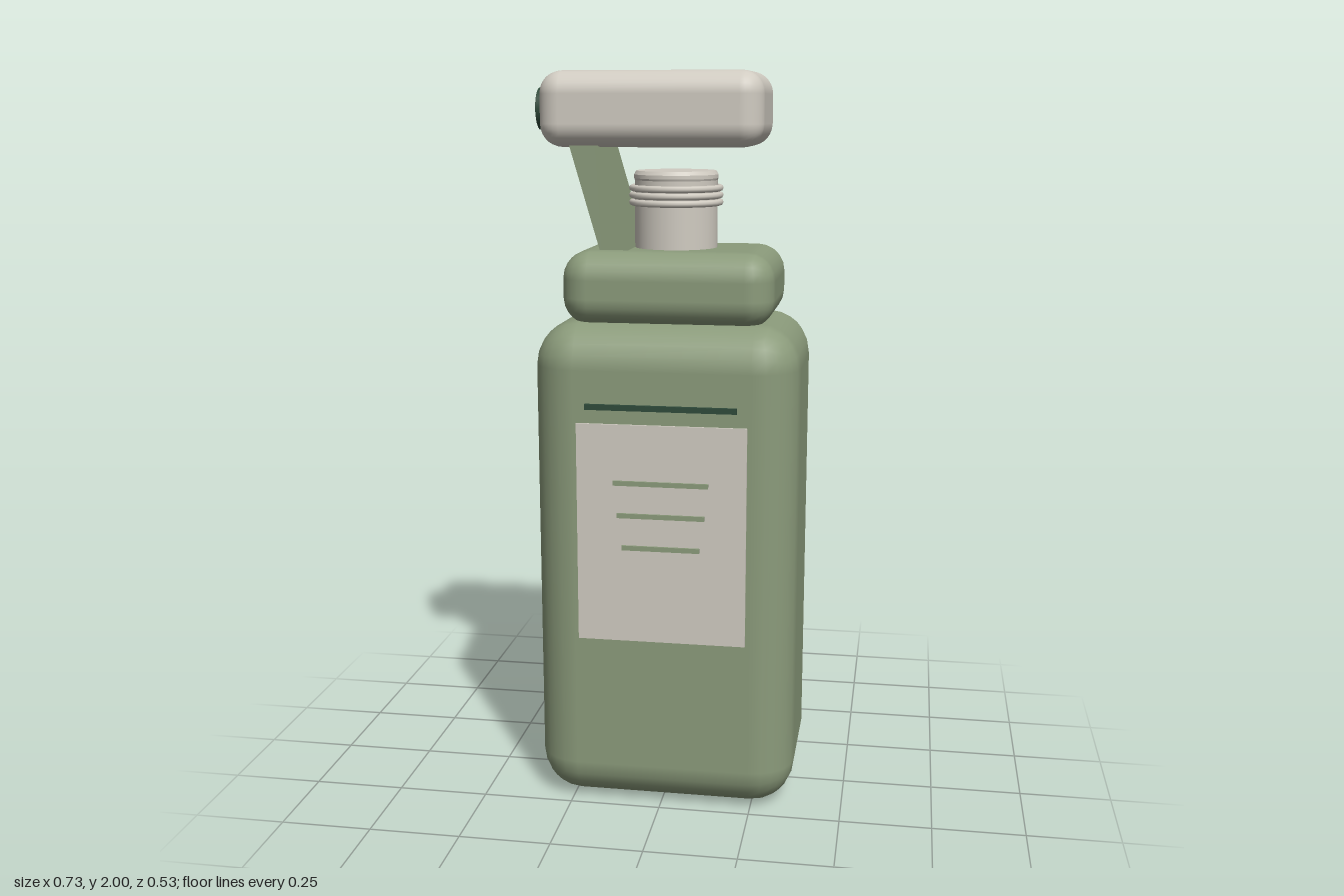
import * as THREE from 'three';
import { RoundedBoxGeometry } from 'three/addons/geometries/RoundedBoxGeometry.js';

const paint = (name, hex) => {
  const m = new THREE.MeshStandardMaterial({ color: hex });
  m.name = name;
  return m;
};

export function createModel() {
  const sage = paint('sage green', 0x8b9b7b);
  const cream = paint('warm cream', 0xd0cbc1);
  const forest = paint('dark green', 0x2f4a3a);
  const model = new THREE.Group();
  model.name = 'pumpBottle';

  const add = (name, geometry, material, x, y, z) => {
    const mesh = new THREE.Mesh(geometry, material);
    mesh.name = name;
    mesh.position.set(x, y, z);
    model.add(mesh);
    return mesh;
  };
  const cx = 0.007, cz = -0.008; // axis of the bottle

  // Bottle body and shoulder
  add('body', new RoundedBoxGeometry(0.715, 1.35, 0.515, 3, 0.12), sage, cx, 0.675, cz);
  add('shoulder', new RoundedBoxGeometry(0.57, 0.2, 0.41, 3, 0.075), sage, cx, 1.435, -0.01);

  // Neck with a softened top edge
  const neck = [[0, 1.5], [0.112, 1.5], [0.112, 1.715], [0.114, 1.72], [0.114, 1.73], [0.108, 1.74], [0, 1.74]];
  // Repeated profile points keep the rims crisp
  const profile = neck.flatMap(([r, y]) => [new THREE.Vector2(r, y), new THREE.Vector2(r, y)]);
  add('neck', new THREE.LatheGeometry(profile, 32), cream, cx, 0, cz);

  // Thread rings
  for (const y of [1.656, 1.675, 1.694]) {
    const ring = new THREE.TorusGeometry(0.119, 0.009, 8, 32).rotateX(Math.PI / 2);
    add('threadRing', ring, cream, cx, y, cz);
  }

  // Slanted arm joining shoulder and pump head
  const side = new THREE.Shape([
    [-0.172, 1.51], [-0.094, 1.51], [-0.19, 1.84], [-0.268, 1.84],
  ].map(([x, y]) => new THREE.Vector2(x, y)));
  add('arm', new THREE.ExtrudeGeometry(side, { depth: 0.25, bevelEnabled: false }), sage, 0, 0, -0.13);

  // Pump head and nozzle
  add('pumpHead', new RoundedBoxGeometry(0.595, 0.197, 0.333, 4, 0.06), cream, -0.042, 1.9015, cz);
  const nozzle = new THREE.CylinderGeometry(0.056, 0.056, 0.048, 24).rotateZ(Math.PI / 2);
  add('nozzle', nozzle, forest, -0.343, 1.902, cz);

  // Front label, accent bar and printed lines
  const plate = (name, material, x0, x1, y, h, z, d) =>
    add(name, new THREE.BoxGeometry(x1 - x0, h, d), material, (x0 + x1) / 2, y, z);
  plate('label', cream, -0.22, 0.236, 0.79, 0.6, 0.2525, 0.008);
  plate('accentBar', forest, -0.195, 0.209, 1.136, 0.015, 0.258, 0.009);
  for (const [half, y] of [[0.128, 0.932], [0.118, 0.843], [0.105, 0.754]])
    plate('labelLine', sage, cx - half, cx + half, y, 0.013, 0.259, 0.007);

  return model;
}
